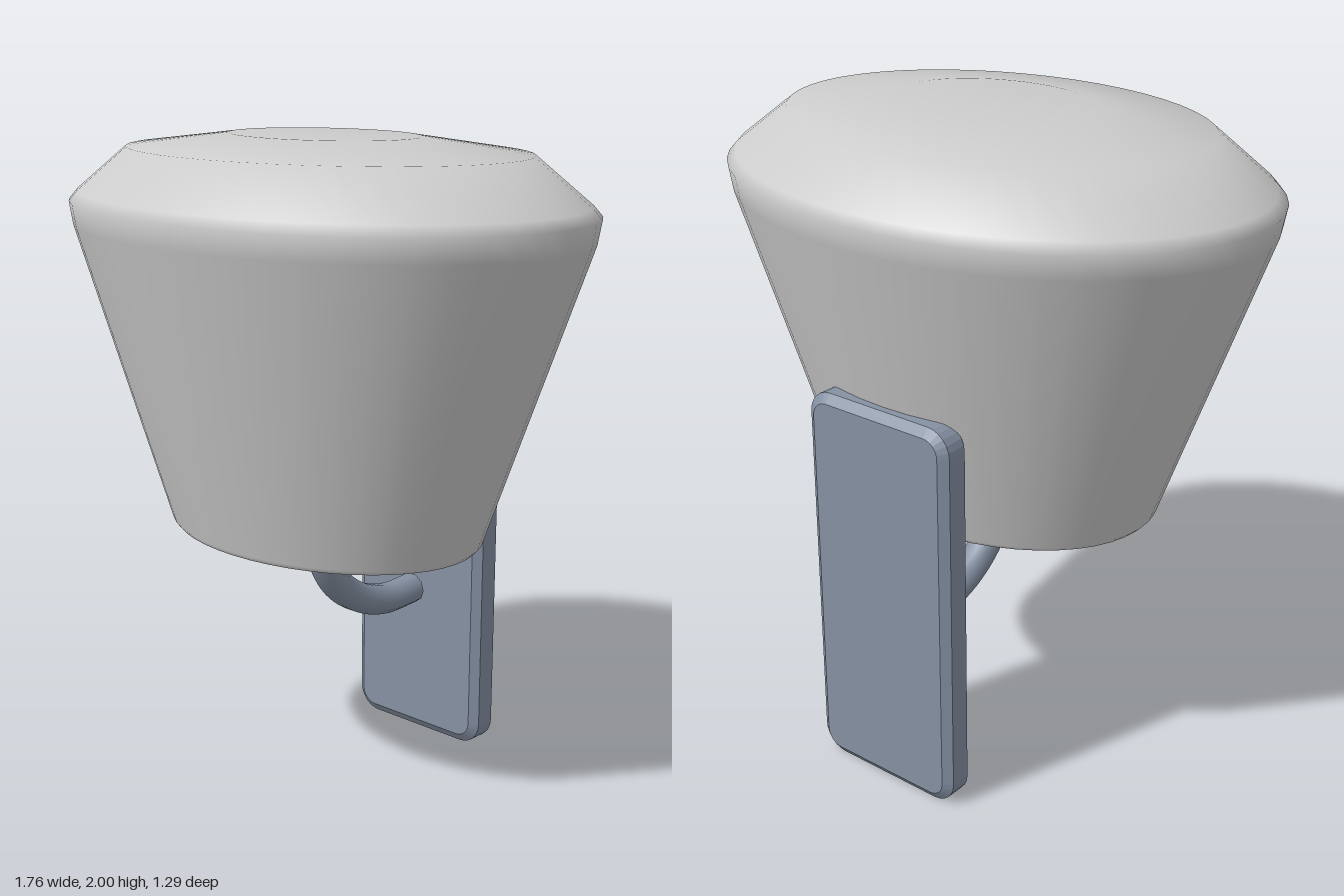
import * as THREE from 'three';

const grey = new THREE.MeshStandardMaterial({ color: 0xcccccc });
const slate = new THREE.MeshStandardMaterial({ color: 0x8591a3 });
const DEPTH = 0.732; // the shade is an ellipse: depth over width

function part(name, geometry, material, parent) {
  const mesh = new THREE.Mesh(geometry, material);
  mesh.name = name;
  parent.add(mesh);
  return mesh;
}

function roundedRect(w, h, r) {
  const s = new THREE.Shape();
  const x = w / 2 - r, y = h / 2 - r;
  s.absarc(x, y, r, 0, Math.PI / 2);
  s.absarc(-x, y, r, Math.PI / 2, Math.PI);
  s.absarc(-x, -y, r, Math.PI, Math.PI * 1.5);
  s.absarc(x, -y, r, Math.PI * 1.5, Math.PI * 2);
  return s;
}

export function createModel() {
  const group = new THREE.Group();
  group.name = 'wallLamp';

  // Oval flared shade with a softly domed top
  const profile = [
    [0.525, 0.803], [0.54, 0.818], [0.868, 1.725], [0.881, 1.795],
    [0.852, 1.825], [0.675, 1.957], [0.32, 2], [0, 2],
  ].map(([x, y]) => new THREE.Vector2(x, y));
  const shade = new THREE.LatheGeometry(profile, 48);
  shade.scale(1, 1, DEPTH);
  part('shade', shade, grey, group);

  // Flat underside of the shade
  const base = new THREE.CircleGeometry(0.525, 48);
  base.rotateX(Math.PI / 2);
  base.scale(1, 1, DEPTH);
  base.translate(0, 0.803, 0);
  part('shadeBase', base, grey, group);

  // Flattened knob joining the shade and the arm
  const knob = new THREE.SphereGeometry(1, 32, 16);
  knob.scale(0.162, 0.077, 0.162 * DEPTH);
  part('knob', knob, grey, group).position.y = 0.802;

  // Curved arm towards the wall, with a closed end
  const path = new THREE.CatmullRomCurve3([
    [0.78, 0.02], [0.71, 0.008], [0.615, -0.05], [0.54, -0.15],
    [0.5, -0.28], [0.503, -0.42],
  ].map(([y, z]) => new THREE.Vector3(0, y, z)));
  part('arm', new THREE.TubeGeometry(path, 24, 0.05, 10), slate, group);
  const end = part('armEnd', new THREE.CircleGeometry(0.05, 10), slate, group);
  end.position.set(0, 0.503, -0.42);
  end.rotation.y = Math.PI;

  // Wall plate with rounded corners and chamfered rims
  const plate = new THREE.ExtrudeGeometry(roundedRect(0.466, 1.175, 0.05), {
    depth: 0.065, bevelEnabled: true, bevelThickness: 0.02, bevelSize: 0.028,
    bevelSegments: 1, curveSegments: 3,
  });
  part('wallPlate', plate, slate, group).position.set(0, 0.6155, -0.527);

  return group;
}
